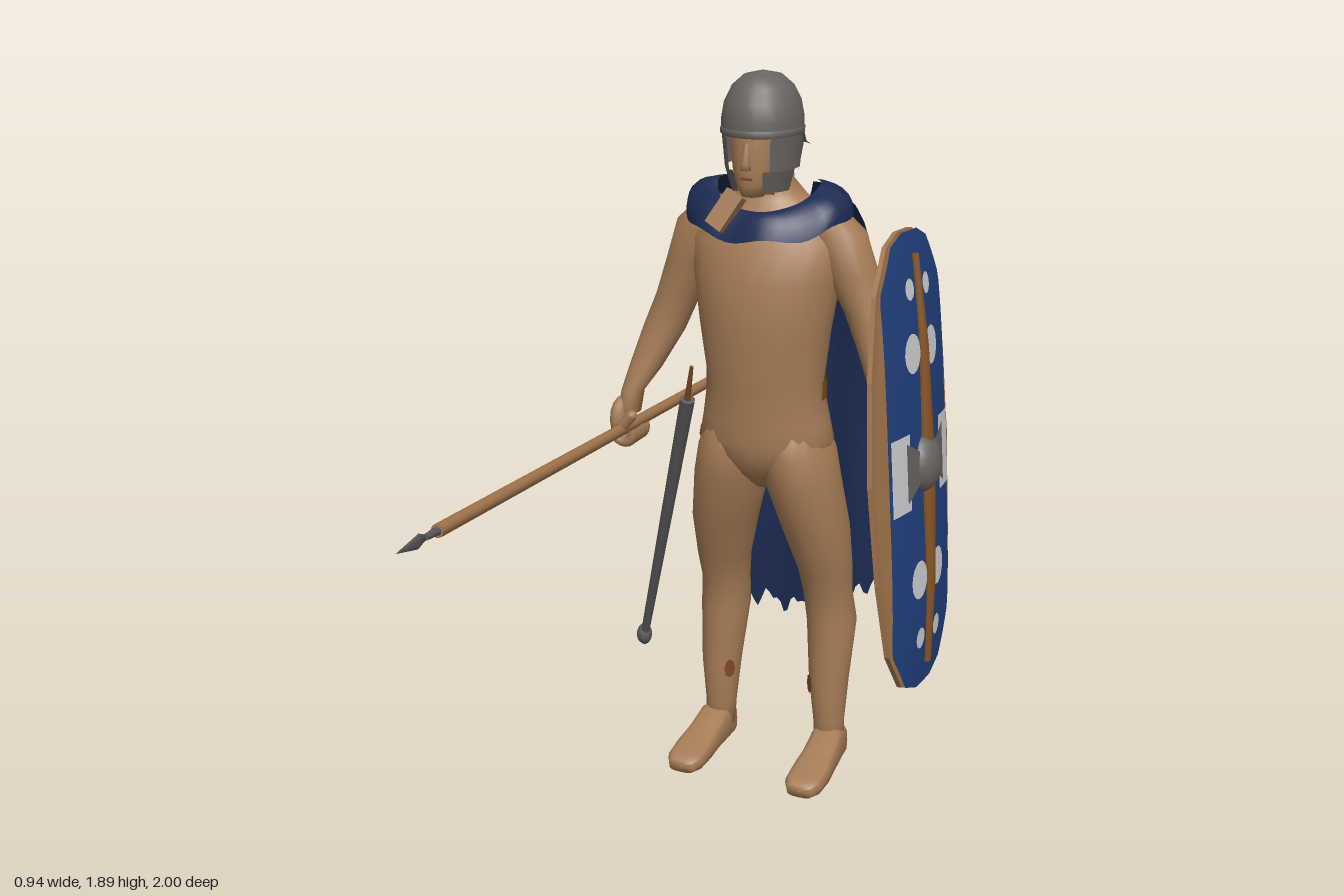
import * as THREE from 'three';
import { ParametricGeometry } from 'three/addons/geometries/ParametricGeometry.js';

const mat = (name, color, side = THREE.FrontSide) => {
  const m = new THREE.MeshStandardMaterial({ color, side });
  m.name = name;
  return m;
};
const MID = -0.045; // body's own centre line in x

// Skin of rings along y (elliptical) or z (squarish); each section is [x, y, z, radiusX, radius2]
function loft(sections, axis = 'y', n = 18) {
  const first = sections[0], last = sections[sections.length - 1];
  const rings = [[...first.slice(0, 3), 0.001, 0.001], ...sections, [...last.slice(0, 3), 0.001, 0.001]];
  const square = (k) => Math.sign(k) * Math.abs(k) ** 0.6;
  const pos = [], idx = [];
  rings.forEach(([x, y, z, a, b], i) => {
    for (let j = 0; j < n; j++) {
      const t = (j / n) * Math.PI * 2, s = Math.sin(t), c = Math.cos(t);
      if (axis === 'y') pos.push(x + a * s, y, z + b * c);
      else pos.push(x - a * square(s), y + b * square(c), z);
      if (i === rings.length - 1) continue;
      const p = i * n + j, q = i * n + (j + 1) % n;
      idx.push(p, q, q + n, p, q + n, p + n);
    }
  });
  const g = new THREE.BufferGeometry();
  g.setAttribute('position', new THREE.Float32BufferAttribute(pos, 3));
  g.setIndex(idx);
  g.computeVertexNormals();
  return g;
}

// Piecewise linear lookup in rows of [key, value] with rising keys
function lookup(rows, k) {
  for (let i = 1; i < rows.length; i++) {
    const [a, u] = rows[i - 1], [b, v] = rows[i];
    if (k <= b) return u + (v - u) * Math.max(0, (k - a) / (b - a));
  }
  return rows[rows.length - 1][1];
}

export function createModel() {
  const model = new THREE.Group();
  const skin = mat('skin', 0xa67c56);
  const steel = mat('helmet steel', 0x686460, THREE.DoubleSide);
  const cloth = mat('cape cloth', 0x1b2a50, THREE.DoubleSide);
  const blue = mat('shield blue', 0x21417f, THREE.DoubleSide);
  const white = mat('shield white', 0xcfd1d3, THREE.DoubleSide);
  const wood = mat('pale wood', 0xa2754c, THREE.DoubleSide);
  const darkWood = mat('dark wood', 0x82501f);
  const leather = mat('leather', 0x7d4a20, THREE.DoubleSide);
  const iron = mat('scabbard iron', 0x5a5a5a);
  const silver = mat('spear silver', 0x9a9a9a);

  const add = (name, geo, material, parent = model) => {
    const m = new THREE.Mesh(geo, material);
    m.name = name;
    parent.add(m);
    return m;
  };
  const rod = (name, a, b, r0, r1, material, sides = 10) => {
    const p = new THREE.Vector3(...a), d = new THREE.Vector3(...b).sub(p);
    const m = add(name, new THREE.CylinderGeometry(r1, r0, d.length(), sides), material);
    m.position.copy(p).addScaledVector(d, 0.5);
    m.quaternion.setFromUnitVectors(new THREE.Vector3(0, 1, 0), d.normalize());
    return m;
  };

  // Torso and neck: [y, z, radiusX, radiusZ]
  add('torso', loft([
    [0.815, -0.26, 0.03, 0.05], [0.86, -0.26, 0.08, 0.1], [0.91, -0.26, 0.165, 0.122],
    [0.95, -0.258, 0.182, 0.126], [1.0, -0.255, 0.172, 0.125], [1.1, -0.245, 0.155, 0.12],
    [1.25, -0.243, 0.175, 0.134], [1.38, -0.253, 0.195, 0.138], [1.47, -0.266, 0.205, 0.122],
    [1.54, -0.275, 0.17, 0.1], [1.58, -0.275, 0.1, 0.075], [1.62, -0.275, 0.06, 0.062], [1.72, -0.255, 0.056, 0.06],
  ].map(([y, z, a, b]) => [MID, y, z, a, b]), 'y', 24), skin);

  // Head with nose
  add('head', loft([
    [1.595, -0.172, 0.028, 0.032], [1.625, -0.19, 0.048, 0.06], [1.66, -0.205, 0.06, 0.076],
    [1.7, -0.215, 0.068, 0.086], [1.75, -0.225, 0.074, 0.094], [1.8, -0.23, 0.074, 0.09],
  ].map(([y, z, a, b]) => [MID - 0.005, y, z, a, b])), skin);
  add('nose', loft([[-0.05, 1.665, -0.127, 0.014, 0.014], [-0.05, 1.68, -0.126, 0.012, 0.013],
    [-0.05, 1.73, -0.13, 0.007, 0.006]], 'y', 8), skin);
  add('mouth', new THREE.BoxGeometry(0.03, 0.006, 0.006), leather).position.set(-0.05, 1.642, -0.13);

  for (const side of [-1, 1]) {
    const label = side > 0 ? 'left' : 'right';
    const limb = (rows) => rows.map(([y, d, z, a, b]) => [MID + side * d, y, z, a, b]);
    // Leg and foot
    add(label + 'Leg', loft(limb([
      [0.05, 0.165, -0.318, 0.042, 0.042], [0.12, 0.162, -0.32, 0.043, 0.043],
      [0.25, 0.16, -0.322, 0.055, 0.058], [0.41, 0.157, -0.345, 0.068, 0.071],
      [0.5, 0.15, -0.33, 0.066, 0.07], [0.57, 0.148, -0.315, 0.073, 0.078],
      [0.7, 0.13, -0.285, 0.09, 0.098], [0.84, 0.1, -0.262, 0.099, 0.118],
      [0.92, 0.09, -0.26, 0.095, 0.116], [1.02, 0.075, -0.255, 0.07, 0.095],
    ])), skin);
    add(label + 'Foot', loft([
      [-0.362, 0.042, 0.166, 0.03, 0.04], [-0.345, 0.05, 0.167, 0.042, 0.05],
      [-0.29, 0.053, 0.169, 0.046, 0.053], [-0.23, 0.04, 0.172, 0.048, 0.04],
      [-0.16, 0.03, 0.174, 0.053, 0.03], [-0.1, 0.024, 0.174, 0.051, 0.024], [-0.073, 0.02, 0.174, 0.036, 0.018],
    ].map(([z, y, d, a, b]) => [MID + side * d, y, z, a, b]), 'z', 16), skin);

    // Arm
    add(label + 'Arm', loft(limb([
      [0.985, 0.368, -0.19, 0.03, 0.034], [1.04, 0.364, -0.205, 0.03, 0.034],
      [1.1, 0.34, -0.235, 0.044, 0.046], [1.2, 0.303, -0.275, 0.058, 0.056], [1.3, 0.262, -0.285, 0.06, 0.06],
      [1.4, 0.218, -0.28, 0.07, 0.066], [1.5, 0.178, -0.275, 0.078, 0.07], [1.56, 0.145, -0.275, 0.045, 0.045],
    ])), skin);

    // Fist: palm and four curled fingers around the grip
    const hand = new THREE.Group();
    hand.name = label + 'Hand';
    hand.position.set(MID + side * 0.37, 0.943, -0.185);
    hand.scale.x = side;
    model.add(hand);
    const palm = add('palm', new THREE.SphereGeometry(1, 12, 8), skin, hand);
    palm.scale.set(0.027, 0.06, 0.052);
    palm.position.set(0.018, 0.022, 0);
    for (let i = 0; i < 4; i++) {
      const f = add('finger', new THREE.TorusGeometry(0.027, 0.015, 6, 10, 3.6), skin, hand);
      f.rotation.z = Math.PI * 0.9;
      f.position.set(-0.004, -0.006, -0.036 + i * 0.024);
    }
    const thumb = add('thumb', new THREE.CapsuleGeometry(0.015, 0.045, 3, 8), skin, hand);
    thumb.rotation.z = 0.7;
    thumb.position.set(-0.018, 0.028, 0.045);

    // Leather marks on the shin and waist
    const mark = add(label + 'ShinMark', new THREE.CircleGeometry(0.02, 8), leather);
    mark.scale.set(0.8, 1.4, 1);
    mark.rotation.y = -side * 0.8;
    mark.position.set(MID + side * 0.119, 0.235, -0.279);
    const belt = add(label + 'WaistStrap', new THREE.CylinderGeometry(1.02, 1.02, 0.05, 8, 1, true,
      side > 0 ? Math.PI / 2 - 0.1 : -Math.PI / 2 - 0.7, 0.8), leather);
    belt.scale.set(0.16, 1, 0.124);
    belt.position.set(MID, 1.09, -0.246);
  }
  const hip = add('hipMark', new THREE.CircleGeometry(0.03, 8), leather);
  hip.rotation.y = -Math.PI / 2;
  hip.position.set(-0.232, 0.93, -0.27);
  add('throatStrap', new THREE.BoxGeometry(0.09, 0.022, 0.008), leather).position.set(-0.05, 1.606, -0.2);

  // Helmet: bowl, brow rim, neck guard and cheek guards
  const helmet = new THREE.Group();
  helmet.name = 'helmet';
  helmet.position.set(-0.05, 0, -0.234);
  helmet.scale.z = 1.14;
  model.add(helmet);
  const turned = (name, pts, start = 0, sweep = Math.PI * 2) => add(name,
    new THREE.LatheGeometry(pts.map((p) => new THREE.Vector2(...p)), 24, start, sweep), steel, helmet);
  turned('bowl', [[0.1, 1.745], [0.101, 1.78], [0.094, 1.82], [0.076, 1.857], [0.047, 1.883], [0.001, 1.894]]);
  turned('browRim', [[0.098, 1.742], [0.103, 1.745], [0.103, 1.757], [0.099, 1.762]]);
  turned('neckGuard', [[0.124, 1.702], [0.108, 1.715], [0.1, 1.75]], Math.PI * 0.7, Math.PI * 0.6);
  for (const s of [-1, 1]) {
    const guard = (name, pts, a, b) => turned(name, pts, Math.PI * (s > 0 ? a : 2 - b), Math.PI * (b - a));
    guard('napePlate', [[0.088, 1.65], [0.1, 1.72]], 0.6, 0.8);
    guard('cheekGuard', [[0.092, 1.66], [0.1, 1.75]], 0.2, 0.58);
    guard('cheekGuard', [[0.076, 1.605], [0.092, 1.66]], 0.14, 0.46);
  }

  // Cape: shoulder collar, with a tied end at the throat
  add('capeCollar', new ParametricGeometry((u, v, p) => {
    const a = (u - 0.5) * Math.PI * 1.45, c = Math.cos(a), front = Math.max(0, c);
    const fold = 0.008 * Math.sin(a * 7);
    p.set(MID + Math.sin(a) * (0.135 + 0.085 * Math.sin(v * 1.57)),
      1.615 - 0.058 * front - 0.068 * v * v + fold * v,
      -0.265 + c * (0.105 + 0.05 * v) + fold * 0.5);
  }, 36, 6), cloth);
  const knot = add('capeKnot', new THREE.BoxGeometry(0.05, 0.1, 0.03), skin);
  knot.rotation.set(-0.35, 0, -0.5);
  knot.position.set(-0.11, 1.558, -0.14);

  // Cape back: V neck above, ragged hem below
  const drop = [[0.36, -0.438], [0.8, -0.438], [1.25, -0.448], [1.45, -0.44], [1.55, -0.39], [1.62, -0.3]];
  const width = [[0.36, 0.262], [0.8, 0.248], [1.3, 0.232], [1.5, 0.225], [1.62, 0.19]];
  add('cape', new ParametricGeometry((u, v, p) => {
    const s = u * 2 - 1, k = Math.abs(s);
    const top = 1.48 + 0.135 * Math.min(1, k / 0.55) - 0.05 * Math.max(0, k - 0.7);
    const hem = 0.39 + 0.14 * k ** 3 + 0.022 * Math.sin(s * 19) + 0.014 * Math.sin(s * 41 + 1);
    const y = top + (hem - top) * v;
    const curl = 0.05 * k ** 4 * Math.min(1, Math.max(0, (y - 0.9) / 0.6));
    p.set(MID - 0.002 + s * lookup(width, y), y,
      lookup(drop, y) + curl + 0.005 * Math.sin(s * 11) * Math.min(1, v * 3));
  }, 48, 24), cloth);

  // Spear through the right fist
  const along = (z) => [-0.4075 + 0.0475 * z, 0.955 + 0.075 * z, z];
  rod('spearShaft', along(-0.91), along(0.83), 0.015, 0.016, wood);
  rod('spearButt', along(-0.91), along(-0.95), 0.012, 0.016, silver, 6);
  rod('spearButtTip', along(-0.95), along(-1), 0.016, 0.001, silver, 6);
  rod('spearSocket', along(0.83), along(0.88), 0.011, 0.008, iron, 6);
  rod('spearBlade', along(0.88), along(0.91), 0.007, 0.018, iron, 6).scale.x = 0.35;
  rod('spearPoint', along(0.91), along(1), 0.018, 0.001, iron, 6).scale.x = 0.35;

  // Sword hung at the right side
  rod('swordGrip', [-0.18, 1.08, -0.055], [-0.155, 1.18, -0.03], 0.009, 0.005, leather, 8);
  rod('scabbard', [-0.425, 0.3, -0.28], [-0.178, 1.085, -0.053], 0.012, 0.02, iron, 8);
  const chape = add('scabbardTip', new THREE.SphereGeometry(0.022, 10, 8), iron);
  chape.scale.y = 1.4;
  chape.position.set(-0.43, 0.29, -0.285);

  // Shield: built facing +z, then turned to face left
  const shield = new THREE.Group();
  shield.name = 'shield';
  shield.position.set(0.388, 0.965, -0.155);
  shield.rotation.set(-0.09, Math.PI / 2, -0.077, 'YXZ');
  model.add(shield);
  const edge = [[0, 0.287], [0.25, 0.262], [0.445, 0.213], [0.55, 0.13], [0.577, 0.05]];
  const half = (v) => lookup(edge, Math.abs(v));
  const bulge = (u, v) => 0.032 * Math.max(0, 1 - (u / 0.287) ** 2 - (v / 0.62) ** 4);
  const face = (limit, off, skirt) => new ParametricGeometry((s, t, p) => {
    const v = (t - 0.5) * 1.15, u = (2 * s - 1) * Math.min(limit, half(v));
    const border = s < 0.01 || s > 0.99 || t < 0.01 || t > 0.99;
    p.set(u, v, skirt && border ? -0.006 : bulge(u, v) + off);
  }, 24, 46);
  const ends = [...edge].reverse();
  const outline = [...edge.map(([v, u]) => [u, v]), ...ends.map(([v, u]) => [-u, v]),
    ...edge.slice(1).map(([v, u]) => [-u, -v]), ...ends.slice(0, -1).map(([v, u]) => [u, -v])];
  const board = add('shieldBoard', new THREE.ExtrudeGeometry(
    new THREE.Shape(outline.map((p) => new THREE.Vector2(...p))), { depth: 0.012, bevelEnabled: false }), wood, shield);
  board.position.z = -0.012;
  add('shieldRim', face(1, 0.001, true), wood, shield);
  add('shieldField', face(0.216, 0.004, false), blue, shield);

  // Painted emblems laid onto the curved face
  const paint = (name, geo, material, u, v, off = 0.008) => {
    geo.translate(u, v, 0);
    const p = geo.attributes.position;
    for (let i = 0; i < p.count; i++) p.setZ(i, bulge(p.getX(i), p.getY(i)) + off);
    geo.computeVertexNormals();
    add(name, geo, material, shield);
  };
  for (const s of [-1, 1]) {
    for (const t of [-1, 1]) {
      paint('smallSpot', new THREE.CircleGeometry(0.027, 14), white, s * 0.06, t * 0.44);
      paint('largeSpot', new THREE.CircleGeometry(0.049, 16), white, s * 0.068, t * 0.285);
    }
    paint('sidePanel', new THREE.PlaneGeometry(0.1, 0.19, 4, 4), white, s * 0.158, 0);
    const bow = new THREE.PlaneGeometry(0.09, 1, 4, 4), p = bow.attributes.position;
    for (let i = 0; i < p.count; i++) p.setY(i, p.getY(i) * (0.11 + s * p.getX(i) * 0.9));
    paint('bossWing', bow, steel, s * 0.088, 0, 0.011);
  }
  add('shieldSpine', loft([[-0.52, 0.01], [-0.3, 0.016], [0, 0.025], [0.3, 0.016], [0.52, 0.01]]
    .map(([v, r]) => [0, v, bulge(0, v) + 0.008, r, r * 0.7 + 0.004]), 'y', 10), darkWood, shield);
  const boss = add('shieldBoss', new THREE.SphereGeometry(0.066, 18, 12), steel, shield);
  boss.scale.set(1, 1.15, 0.68);
  boss.position.z = 0.03;

  return model;
}
